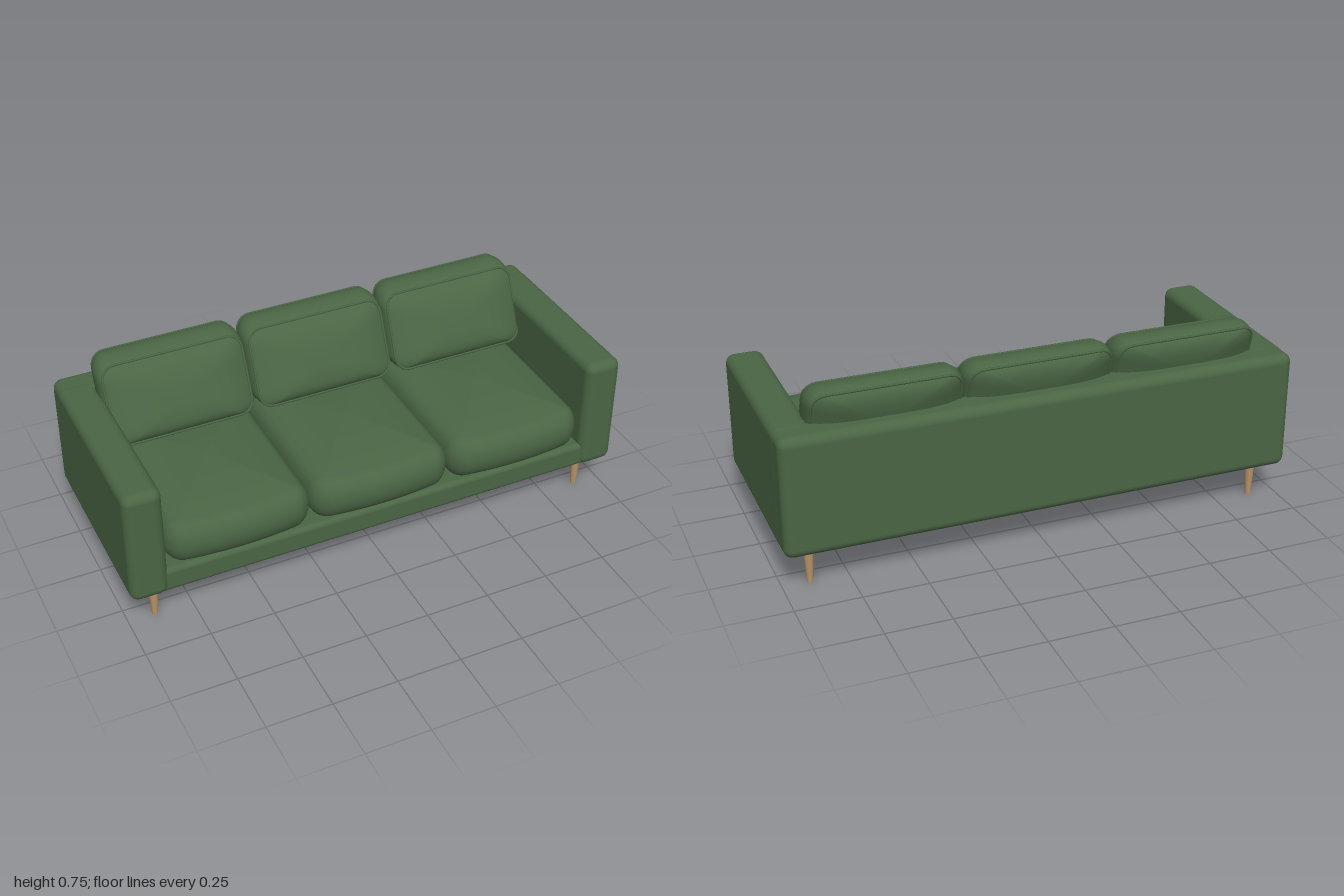
import * as THREE from 'three';
import { RoundedBoxGeometry } from 'three/addons/geometries/RoundedBoxGeometry.js';

const lerp = THREE.MathUtils.lerp;

// Rounded rectangle outline, counter-clockwise, with subdivided straight edges
function outline(hw, hh, r, arc = 8, edge = 10) {
  const corners = [[1, 1], [-1, 1], [-1, -1], [1, -1]].map(([sx, sy], k) => {
    const pts = [];
    for (let i = 0; i <= arc; i++) {
      const a = (k + i / arc) * Math.PI / 2;
      pts.push([sx * (hw - r) + r * Math.cos(a), sy * (hh - r) + r * Math.sin(a)]);
    }
    return pts;
  });
  const out = [];
  corners.forEach((pts, k) => {
    out.push(...pts);
    const a = pts[arc], b = corners[(k + 1) % 4][0];
    for (let i = 1; i < edge; i++) out.push([lerp(a[0], b[0], i / edge), lerp(a[1], b[1], i / edge)]);
  });
  return out;
}

// Smooth closed surface through rings of [x, y, z] points
function loft(rings) {
  const n = rings[0].length, index = [];
  for (let i = 0; i < rings.length - 1; i++) {
    for (let j = 0; j < n; j++) {
      const k = (j + 1) % n, a = i * n + j, b = i * n + k;
      index.push(a, b, b + n, a, b + n, a + n);
    }
  }
  const geo = new THREE.BufferGeometry();
  geo.setAttribute('position', new THREE.Float32BufferAttribute(rings.flat(2), 3));
  geo.setIndex(index);
  geo.computeVertexNormals();
  return geo;
}

const domeSteps = [0.98, 0.95, 0.9, 0.82, 0.7, 0.5, 0.25, 0];

// Seat cushion: rounded edge, crowned top, bowed front
function seatGeometry() {
  const hw = 0.284, hd = 0.3425, soft = 0.055, half = 0.085;
  const ring = (inset, s, y) => outline(hw - inset, hd - inset, 0.07 - inset).map(([u, v]) => {
    const x = u * s, z = -v * s;
    const bow = z > 0 ? 0.03 * (1 - (x / hw) ** 2) * (z / hd) : 0;
    return [x, y, z + bow + 0.0425];
  });
  const rings = [ring(soft, 0, 0.25)];
  for (let i = 0; i <= 14; i++) {
    const a = (i / 14 - 0.5) * Math.PI;
    rings.push(ring(soft * (1 - Math.cos(a)), 1, 0.335 + half * Math.sin(a)));
  }
  domeSteps.forEach(s => rings.push(ring(soft, s, 0.42 + 0.028 * (1 - s * s))));
  return loft(rings);
}

// Back cushion: leaning front and rear planes, with v measured from its middle
const midY = 0.592;
const frontZ = y => -0.238 + 0.45 * (0.735 - y);
const rearZ = y => -0.345 + 0.3 * (0.72 - y);

function backRing(inset, s, t, puff) {
  return outline(0.29 - inset, 0.153 - inset, 0.065 - inset).map(([u, v]) => {
    const y = midY + v * s;
    return [u * s, y, lerp(rearZ(y), frontZ(y), t) + puff];
  });
}

function backGeometry() {
  const rings = [], seam = 0.017;
  const dome = s => 1 - s ** 4;
  [...domeSteps].reverse().forEach(s => rings.push(backRing(seam, s, 0, -0.038 * dome(s))));
  for (let i = 0; i <= 12; i++) {
    const t = i / 12;
    rings.push(backRing(seam * (1 - Math.sin(Math.PI * t) ** 0.6), 1, t, 0));
  }
  domeSteps.forEach(s => rings.push(backRing(seam, s, 1, 0.045 * dome(s))));
  return loft(rings);
}

// Piped seam around the front (t = 1) or rear (t = 0) panel
function pipingGeometry(t) {
  const pts = backRing(0.014, 1, t, 0).map(p => new THREE.Vector3(...p));
  return new THREE.TubeGeometry(new THREE.CatmullRomCurve3(pts, true), 120, 0.005, 6, true);
}

export function createModel() {
  const fabric = new THREE.MeshStandardMaterial({ color: 0x4a6544 });
  fabric.name = 'green fabric';
  const wood = new THREE.MeshStandardMaterial({ color: 0xb8936a });
  wood.name = 'light wood';

  const sofa = new THREE.Group();
  sofa.name = 'sofa';
  const add = (name, geo, mat, x = 0, y = 0, z = 0) => {
    const mesh = new THREE.Mesh(geo, mat);
    mesh.name = name;
    mesh.position.set(x, y, z);
    sofa.add(mesh);
  };
  // Padded box given by its limits
  const pad = (name, x0, x1, y0, y1, z0, z1, r) => add(name,
    new RoundedBoxGeometry(x1 - x0, y1 - y0, z1 - z0, 5, r), fabric,
    (x0 + x1) / 2, (y0 + y1) / 2, (z0 + z1) / 2);

  // Frame
  pad('base', -0.9, 0.9, 0.15, 0.25, -0.39, 0.385, 0.02);
  pad('backrest', -0.999, 0.999, 0.15, 0.619, -0.418, -0.28, 0.035);
  pad('leftArm', 0.855, 1, 0.15, 0.62, -0.35, 0.398, 0.035);
  pad('rightArm', -1, -0.855, 0.15, 0.62, -0.35, 0.398, 0.035);

  // Cushions
  const seat = seatGeometry(), back = backGeometry();
  const frontPiping = pipingGeometry(1), rearPiping = pipingGeometry(0);
  ['right', 'middle', 'left'].forEach((side, i) => {
    add(side + 'SeatCushion', seat, fabric, (i - 1) * 0.567);
    const x = (i - 1) * 0.582;
    add(side + 'BackCushion', back, fabric, x);
    add(side + 'FrontPiping', frontPiping, fabric, x);
    add(side + 'RearPiping', rearPiping, fabric, x);
  });

  // Tapered legs
  const leg = new THREE.CylinderGeometry(0.021, 0.011, 0.16, 24);
  for (const [side, x] of [['left', 0.895], ['right', -0.895]]) {
    add(side + 'FrontLeg', leg, wood, x, 0.08, 0.309);
    add(side + 'RearLeg', leg, wood, x, 0.08, -0.326);
  }
  return sofa;
}
